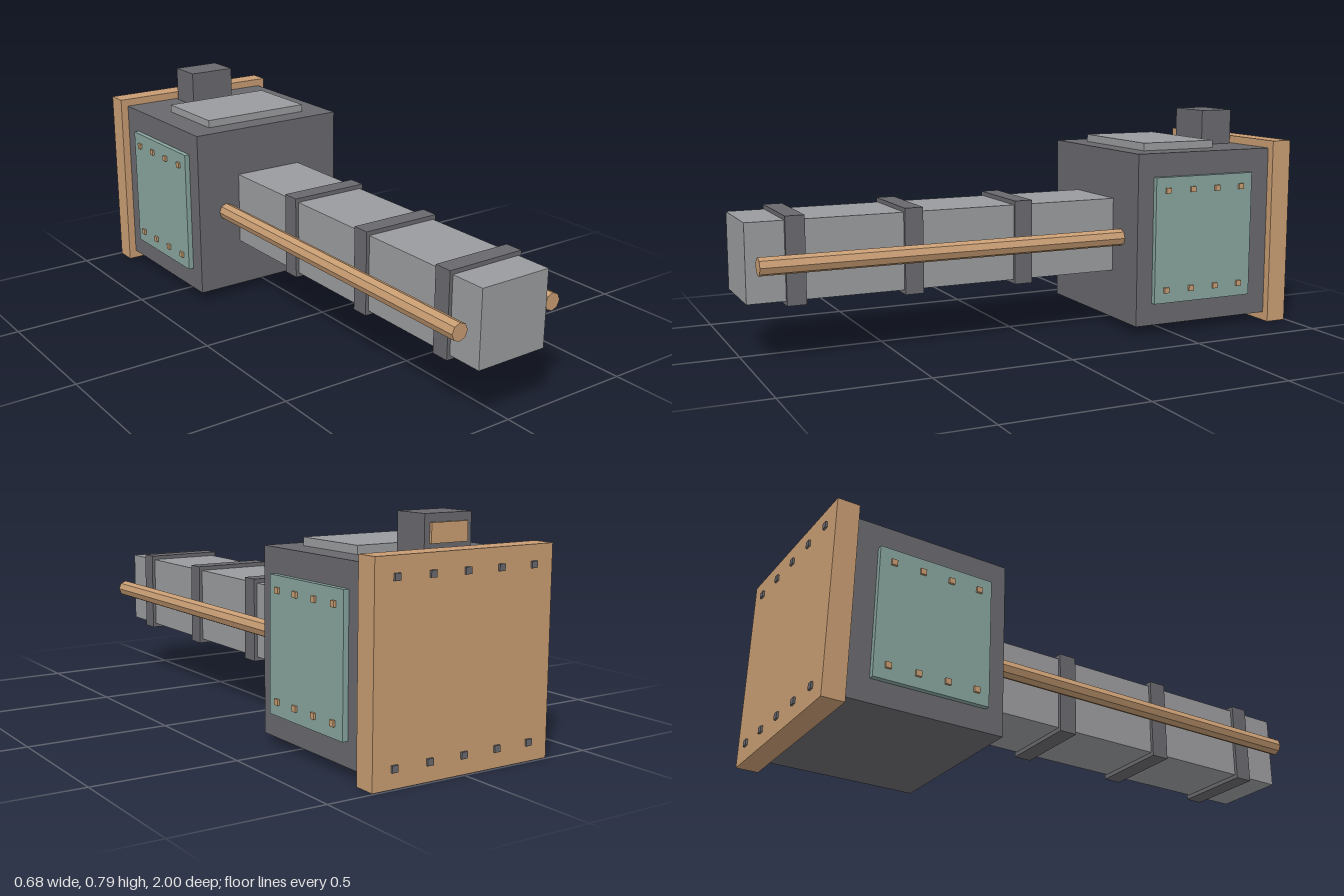
import * as THREE from 'three';

const material = (name, color) => {
  const m = new THREE.MeshStandardMaterial({ color });
  m.name = name;
  return m;
};

export function createModel() {
  const model = new THREE.Group();
  model.name = 'boxCannon';
  const darkSteel = material('darkSteel', 0x69686d);
  const lightSteel = material('lightSteel', 0x9a9b9e);
  const copper = material('copper', 0xc79c72);
  const teal = material('teal', 0x86a29c);

  // Box given by its minimum and maximum on each axis
  const box = (name, mat, [x0, x1], [y0, y1], [z0, z1]) => {
    const mesh = new THREE.Mesh(new THREE.BoxGeometry(x1 - x0, y1 - y0, z1 - z0), mat);
    mesh.position.set((x0 + x1) / 2, (y0 + y1) / 2, (z0 + z1) / 2);
    mesh.name = name;
    model.add(mesh);
    return mesh;
  };
  const around = (c, half) => [c - half, c + half];

  // Housing with raised top panel
  box('housing', darkSteel, [-0.311, 0.311], [0.031, 0.655], [-0.918, -0.358]);
  box('topPanel', lightSteel, [-0.213, 0.213], [0.655, 0.683], [-0.735, -0.438]);

  // Sight block with rear lens plate
  box('sightBlock', darkSteel, [-0.09, 0.09], [0.655, 0.785], [-0.9, -0.77]);
  box('sightPlate', copper, [-0.07, 0.07], [0.695, 0.758], [-0.909, -0.9]);

  // Back plate with two rows of bolts
  box('backPlate', copper, [-0.34, 0.34], [0, 0.683], [-0.993, -0.916]);
  for (const y of [0.062, 0.621])
    for (let i = -2; i <= 2; i++)
      box('backBolt', darkSteel, around(i * 0.131, 0.011), around(y, 0.011), [-1, -0.99]);

  // Square barrel with reinforcing bands
  box('barrel', lightSteel, [-0.136, 0.136], [0.208, 0.477], [-0.36, 1]);
  for (const z of [0.013, 0.425, 0.836])
    box('barrelBand', darkSteel, [-0.148, 0.148], [0.193, 0.492], around(z, 0.033));

  for (const side of [-1, 1]) {
    // Side armour plate and its bolts
    const span = (a, b) => (side > 0 ? [a, b] : [-b, -a]);
    box('sidePlate', teal, span(0.31, 0.33), [0.112, 0.57], [-0.831, -0.422]);
    for (const y of [0.16, 0.522])
      for (let i = 0; i < 4; i++)
        box('sideBolt', copper, span(0.328, 0.338), around(y, 0.01), around(-0.47 - i * 0.104, 0.01));

    // Eight-sided rod alongside the barrel
    const geometry = new THREE.CylinderGeometry(0.031, 0.031, 1.33, 8).toNonIndexed();
    geometry.rotateX(Math.PI / 2);
    geometry.computeVertexNormals();
    const rod = new THREE.Mesh(geometry, copper);
    rod.name = 'sideRod';
    rod.position.set(side * 0.193, 0.341, 0.307);
    model.add(rod);
  }
  return model;
}
